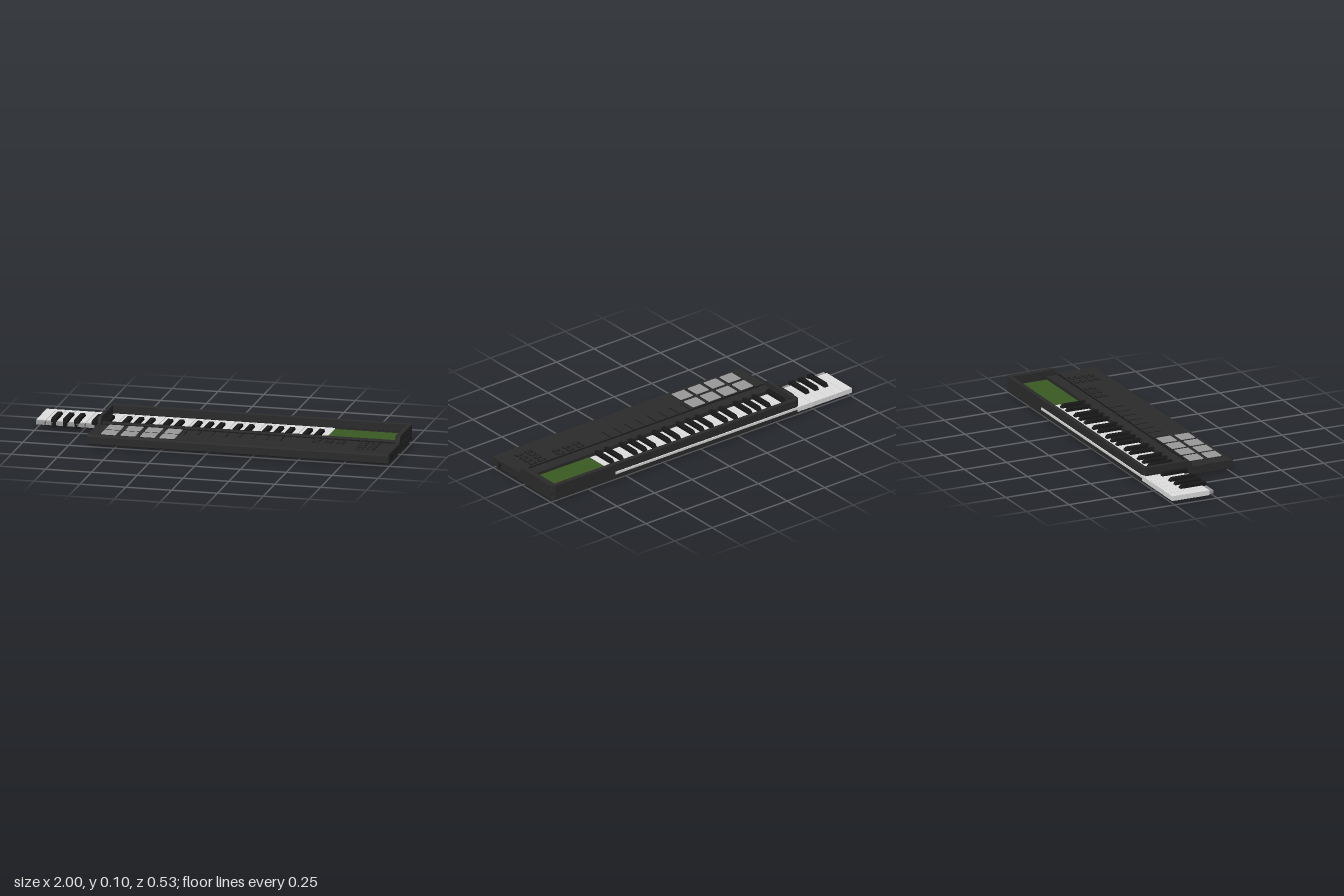
import * as THREE from 'three';
import { RoundedBoxGeometry } from 'three/addons/geometries/RoundedBoxGeometry.js';

const mat = (name, color) => {
  const m = new THREE.MeshStandardMaterial({ color });
  m.name = name;
  return m;
};

export function createModel() {
  const model = new THREE.Group();
  const casing = mat('casing charcoal', 0x2b2b2b);
  const dark = mat('deep black', 0x181818);
  const ivory = mat('key white', 0xdedede);
  const padGrey = mat('pad grey', 0x999999);
  const green = mat('board green', 0x3a5a22);

  const add = (name, geo, material, x = 0, y = 0, z = 0, parent = model) => {
    const m = new THREE.Mesh(geo, material);
    m.name = name;
    m.position.set(x, y, z);
    parent.add(m);
    return m;
  };
  // Box given by its limits on each axis
  const block = (name, material, x0, x1, y0, y1, z0, z1, parent) =>
    add(name, new THREE.BoxGeometry(x1 - x0, y1 - y0, z1 - z0), material,
      (x0 + x1) / 2, (y0 + y1) / 2, (z0 + z1) / 2, parent);
  const shapeOf = pts => new THREE.Shape(pts.map(p => new THREE.Vector2(...p)));
  // Extrude a [z, y] profile along x
  const alongX = (name, pts, x0, x1, material, b = 0) => {
    const geo = new THREE.ExtrudeGeometry(shapeOf(pts), {
      depth: x1 - x0 - 2 * b, bevelEnabled: b > 0, bevelSize: b, bevelThickness: b,
      bevelOffset: -b, bevelSegments: 2,
    });
    geo.rotateY(-Math.PI / 2);
    return add(name, geo, material, x1 - b);
  };
  // Extrude an [x, -z] plan upwards
  const upwards = (name, pts, y0, y1, material, b = 0) => {
    const geo = new THREE.ExtrudeGeometry(shapeOf(pts), {
      depth: y1 - y0 - 2 * b, bevelEnabled: b > 0, bevelSize: b, bevelThickness: b,
      bevelOffset: -b, bevelSegments: 2,
    });
    geo.rotateX(-Math.PI / 2);
    return add(name, geo, material, 0, y0 + b);
  };

  const L = -0.65, R = 0.998, BACK = 0.265;
  const wellL = -0.632, wellR = 0.97, wellBack = 0.242;

  // Floor and front control deck
  upwards('floor', [[L, 0], [R, 0], [R, 0.25], [R - 0.015, BACK], [L + 0.015, BACK], [L, 0.25]],
    0.017, 0.024, casing);
  alongX('controlDeck', [[-0.038, 0.017], [0.262, 0.017], [0.265, 0.021], [0.265, 0.06],
    [0.257, 0.068], [-0.038, 0.068]], L, R, casing, 0.003);

  // U-shaped rear frame, with a slot for the key fronts
  const frame = [[L, 0], [wellL, 0], [wellL, wellBack], [wellR, wellBack], [wellR, 0], [R, 0],
    [R, 0.247], [R - 0.006, 0.259], [R - 0.018, BACK],
    [L + 0.018, BACK], [L + 0.006, 0.259], [L, 0.247]];
  upwards('lowerFrame', frame, 0.02, 0.039, casing);
  upwards('upperFrame', frame, 0.055, 0.103, casing, 0.004);
  block('leftSlotEnd', casing, L, wellL, 0.039, 0.055, -0.25, 0);
  block('rightSlotEnd', casing, wellR, R, 0.039, 0.055, -0.25, 0);
  block('slotFiller', casing, 0.58, R - 0.016, 0.039, 0.055, -BACK, -wellBack);

  // Sloped ends of the side cheeks
  const slope = [[-0.02, 0.03], [0.027, 0.03], [0.027, 0.07], [0, 0.103], [-0.02, 0.103]];
  alongX('leftCheekSlope', slope, L, wellL, casing);
  alongX('rightCheekSlope', slope, wellR, R, casing);

  const ridge = new THREE.CylinderGeometry(0.005, 0.005, R - L - 0.04, 10).rotateZ(Math.PI / 2);
  add('deckRidge', ridge, dark, (L + R) / 2, 0.068, 0.03);

  // Circuit board at the end of the key well
  block('circuitBoard', green, 0.58, wellR, 0.024, 0.05, -wellBack, -0.036);

  // Keys: hollow white shells with raised black keys between them
  const keyboard = new THREE.Group();
  keyboard.name = 'keyboard';
  model.add(keyboard);
  const pitch = 1.58 / 29;
  const blackShift = { 1: -0.009, 2: 0, 3: 0.007, 5: -0.006, 6: 0.003 };
  const blackProfile = [[-0.172, 0.02], [-0.02, 0.02], [-0.02, 0.066], [-0.03, 0.07],
    [-0.158, 0.07], [-0.172, 0.056]];
  for (let i = 0; i < 29; i++) {
    const x0 = -1 + i * pitch + 0.001, x1 = x0 + pitch - 0.002;
    const key = new THREE.Group();
    key.name = 'whiteKey';
    keyboard.add(key);
    block('keyTop', ivory, x0, x1, 0.044, 0.052, -0.264, -0.045, key);
    block('keyFront', ivory, x0, x1, 0.025, 0.044, -0.264, -0.258, key);
    block('keyTail', padGrey, x0 + 0.002, x1 - 0.002, 0.03, 0.048, -0.045, -0.02, key);
    for (const x of [x0, x1 - 0.003])
      block('keySide', ivory, x, x + 0.003, 0.025, 0.044, -0.258, -0.045, key);
    const s = blackShift[i % 7];
    if (s !== undefined) {
      const c = -1 + (i + 1) * pitch + s;
      keyboard.add(alongX('blackKey', blackProfile, c - 0.0135, c + 0.0135, dark, 0.002));
    }
  }
  // One black key sags below the floor
  alongX('saggingKey', [[-0.168, 0.002], [-0.02, 0.016], [-0.02, 0.03], [-0.168, 0.03]],
    -0.629, -0.603, dark);

  // Eight drum pads in two rows
  const padGeo = new RoundedBoxGeometry(0.083, 0.012, 0.083, 2, 0.004);
  for (let c = 0; c < 4; c++)
    for (const z of [0.087, 0.193]) {
      const x = -0.538 + c * 0.1065;
      block('padSurround', dark, x - 0.045, x + 0.045, 0.066, 0.0688, z - 0.045, z + 0.045);
      add('drumPad', padGeo, padGrey, x, 0.0685, z);
    }

  // Slider slots
  for (let i = 0; i < 8; i++) {
    const x = -0.152 + i * 0.075;
    block('sliderSlot', dark, x - 0.003, x + 0.003, 0.066, 0.0685, 0.04, 0.125);
  }

  // Small push buttons with dark surrounds
  const buttonGeo = new RoundedBoxGeometry(0.03, 0.006, 0.014, 2, 0.002);
  const button = (x, z) => {
    block('buttonSurround', dark, x - 0.022, x + 0.022, 0.066, 0.0686, z - 0.013, z + 0.013);
    add('pushButton', buttonGeo, casing, x, 0.0685, z);
  };
  for (const z of [0.062, 0.1])
    for (const x of [0.563, 0.629, 0.696]) button(x, z);
  for (const z of [0.062, 0.1, 0.14, 0.18])
    for (const x of [0.82, 0.882]) button(x, z);

  // Vent dots on the right-hand end
  const dotGeo = new THREE.CylinderGeometry(0.0022, 0.0022, 0.003, 8).rotateZ(Math.PI / 2);
  for (let r = 0; r < 5; r++)
    for (let c = 0; c < 5; c++)
      add('ventDot', dotGeo, dark, R, 0.025 + r * 0.006, 0.188 + c * 0.006);

  // Feet and underside screws
  const footGeo = new THREE.CylinderGeometry(0.014, 0.014, 0.01, 20);
  for (const x of [-0.617, 0.935])
    for (const z of [0.217, -0.209]) add('foot', footGeo, dark, x, 0.014, z);
  const screwGeo = new THREE.CylinderGeometry(0.005, 0.005, 0.002, 10);
  for (const x of [-0.4, -0.1, 0.2, 0.5])
    for (const z of [-0.12, 0.08]) add('screw', screwGeo, dark, x, 0.0168, z);

  return model;
}
